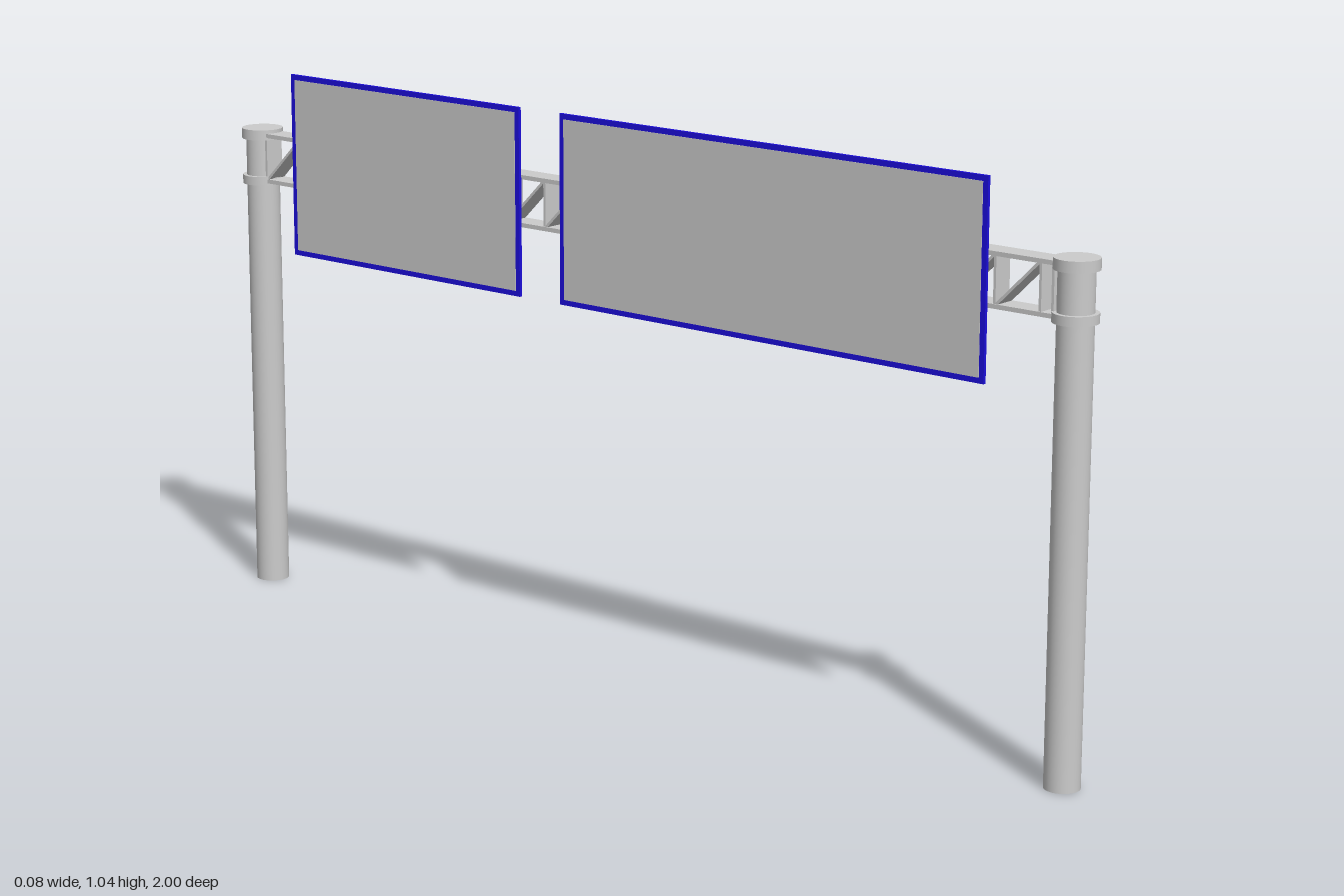
import * as THREE from 'three';

export function createModel() {
  const model = new THREE.Group();
  const grey = new THREE.MeshStandardMaterial({ color: 0xcccccc });
  const blue = new THREE.MeshStandardMaterial({ color: 0x1c0edd });

  function add(parent, name, geometry, material, x, y, z) {
    const mesh = new THREE.Mesh(geometry, material);
    mesh.name = name;
    mesh.position.set(x, y, z);
    parent.add(mesh);
    return mesh;
  }

  // Two round posts, each with a cap and a collar at the truss chords
  const postZ = 0.96;
  for (const side of [1, -1]) {
    const post = new THREE.Group();
    post.name = side > 0 ? 'frontPost' : 'backPost';
    post.position.z = side * postZ;
    add(post, 'postShaft', new THREE.CylinderGeometry(0.032, 0.032, 0.91, 32), grey, 0, 0.455, 0);
    add(post, 'postCap', new THREE.CylinderGeometry(0.04, 0.04, 0.02, 32), grey, 0, 0.91, 0);
    add(post, 'postCollar', new THREE.CylinderGeometry(0.04, 0.04, 0.017, 32), grey, 0, 0.819, 0);
    model.add(post);
  }

  // Truss: flat top and bottom chords joined by uprights and diagonals
  const truss = new THREE.Group();
  truss.name = 'truss';
  model.add(truss);
  const width = 0.044, top = 0.909, bottom = 0.819;
  for (const [name, y] of [['topChord', top], ['bottomChord', bottom]]) {
    add(truss, name, new THREE.BoxGeometry(width, 0.008, 2 * postZ), grey, 0, y, 0);
  }
  const bays = 20, first = 0.902, last = -0.93;
  const step = (last - first) / bays, rise = top - bottom;
  const diagonal = new THREE.BoxGeometry(width - 0.004, Math.hypot(step, rise), 0.005);
  const upright = new THREE.BoxGeometry(width - 0.004, rise, 0.005);
  const middle = (top + bottom) / 2;
  for (let i = 0; i <= bays; i++) {
    const z = first + i * step;
    add(truss, 'upright', upright, grey, 0, middle, z);
    if (i < bays) {
      const brace = add(truss, 'diagonal', diagonal, grey, 0, middle, z + step / 2);
      brace.rotation.x = Math.atan2(-step, rise);
    }
  }
  add(truss, 'endUpright', upright, grey, 0, middle, 0.927);

  // Sign boards on the -x side: blue panel with an inset grey face
  function sign(name, z0, z1) {
    const board = new THREE.Group();
    board.name = name;
    const length = z1 - z0, height = 0.355, border = 0.01;
    board.position.set(-0.0275, 0.8625, (z0 + z1) / 2);
    add(board, 'signPanel', new THREE.BoxGeometry(0.006, height, length), blue, 0, 0, 0);
    add(board, 'signFace', new THREE.BoxGeometry(0.001, height - 2 * border, length - 2 * border),
      grey, -0.0032, 0, 0);
    model.add(board);
  }
  sign('longSign', -0.15, 0.8);
  sign('shortSign', -0.845, -0.25);

  return model;
}
